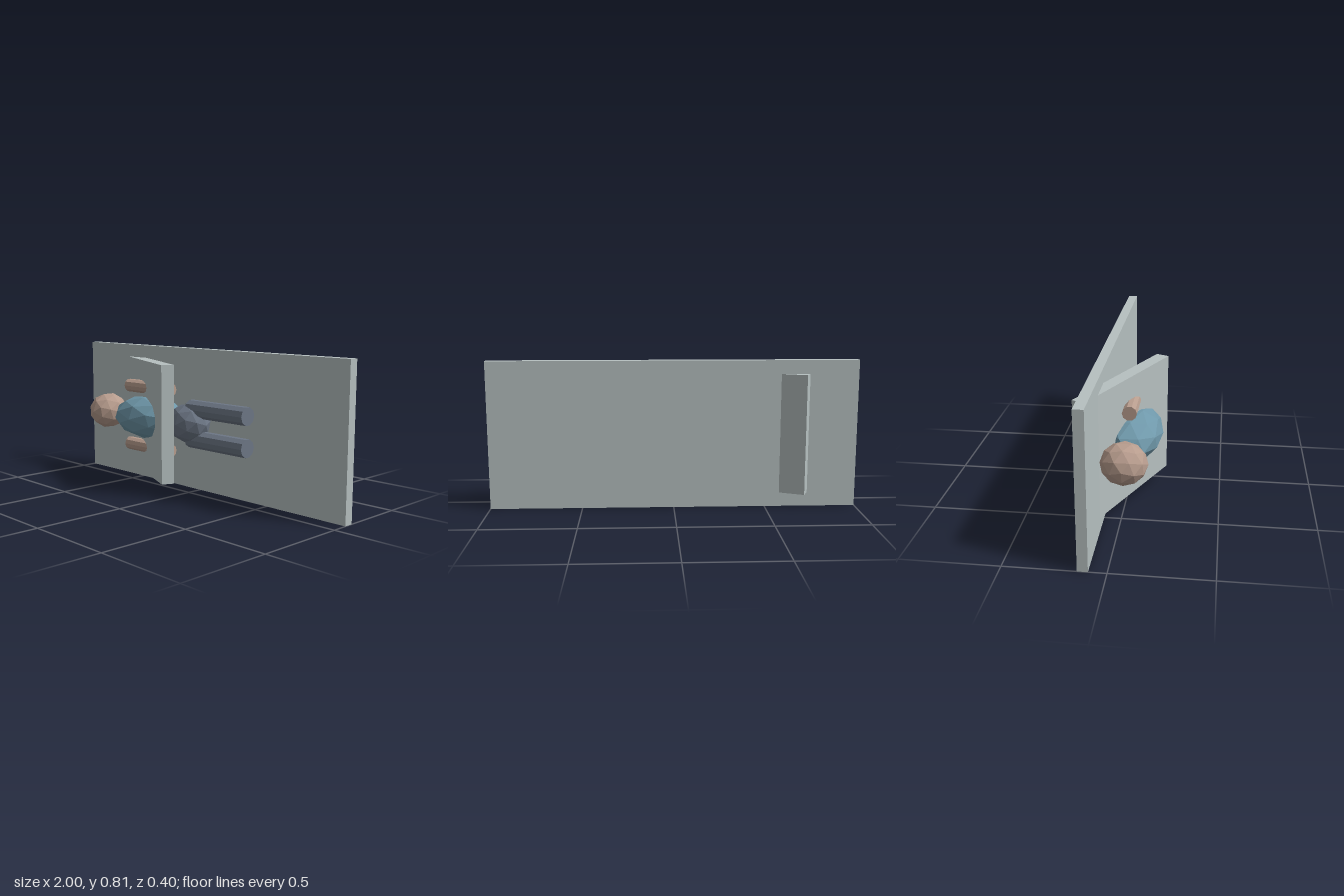
import * as THREE from 'three';

const paint = (name, color) => {
  const m = new THREE.MeshStandardMaterial({ color, flatShading: true });
  m.name = name;
  return m;
};

export function createModel() {
  const group = new THREE.Group();
  const frame = paint('pale grey', 0xb6c0c0);
  const skin = paint('skin', 0xb79c8d);
  const shirt = paint('shirt blue', 0x6f98aa);
  const trousers = paint('trouser slate', 0x6d7786);

  const midY = 0.404;

  const add = (name, geometry, material, x, y, z) => {
    const mesh = new THREE.Mesh(geometry, material);
    mesh.name = name;
    mesh.position.set(x, y, z);
    group.add(mesh);
    return mesh;
  };

  // Low-poly ball with its poles on x, stretched to the given radii
  const ball = (rx, ry, rz) =>
    new THREE.IcosahedronGeometry(1, 1)
      .rotateY(Math.atan(2 / (1 + Math.sqrt(5))))
      .rotateX(Math.PI / 2)
      .scale(rx, ry, rz);

  // Ten-sided limb lying along x
  const limb = (radius, length) =>
    new THREE.CylinderGeometry(radius, radius, length, 10).rotateZ(Math.PI / 2);

  // Bed slab and tilted backrest
  add('bed', new THREE.BoxGeometry(2, 0.807, 0.052), frame, 0, midY, -0.115);
  const backrest = add('backrest', new THREE.BoxGeometry(0.8, 0.656, 0.071), frame, -0.359, 0.405, -0.002);
  backrest.rotation.y = -0.425;

  // Body
  add('head', ball(0.111, 0.107, 0.118), skin, -0.675, midY + 0.002, 0.038);
  add('torso', ball(0.26, 0.124, 0.157), shirt, -0.29, midY + 0.002, 0.039);
  add('hips', ball(0.133, 0.111, 0.106), trousers, 0.032, midY + 0.002, 0.026);

  // Limbs, mirrored about the middle of the bed
  for (const [side, s] of [['upper', 1], ['lower', -1]]) {
    add(side + 'Arm', limb(0.038, 0.37), skin, -0.285, midY + s * 0.174, 0.039);
    add(side + 'Leg', limb(0.05, 0.42), trousers, 0.25, midY + s * 0.084, 0.021);
    add(side + 'Foot', ball(0.028, 0.021, 0.01), skin, 0.273, midY + s * 0.084, -0.078);
  }

  return group;
}
